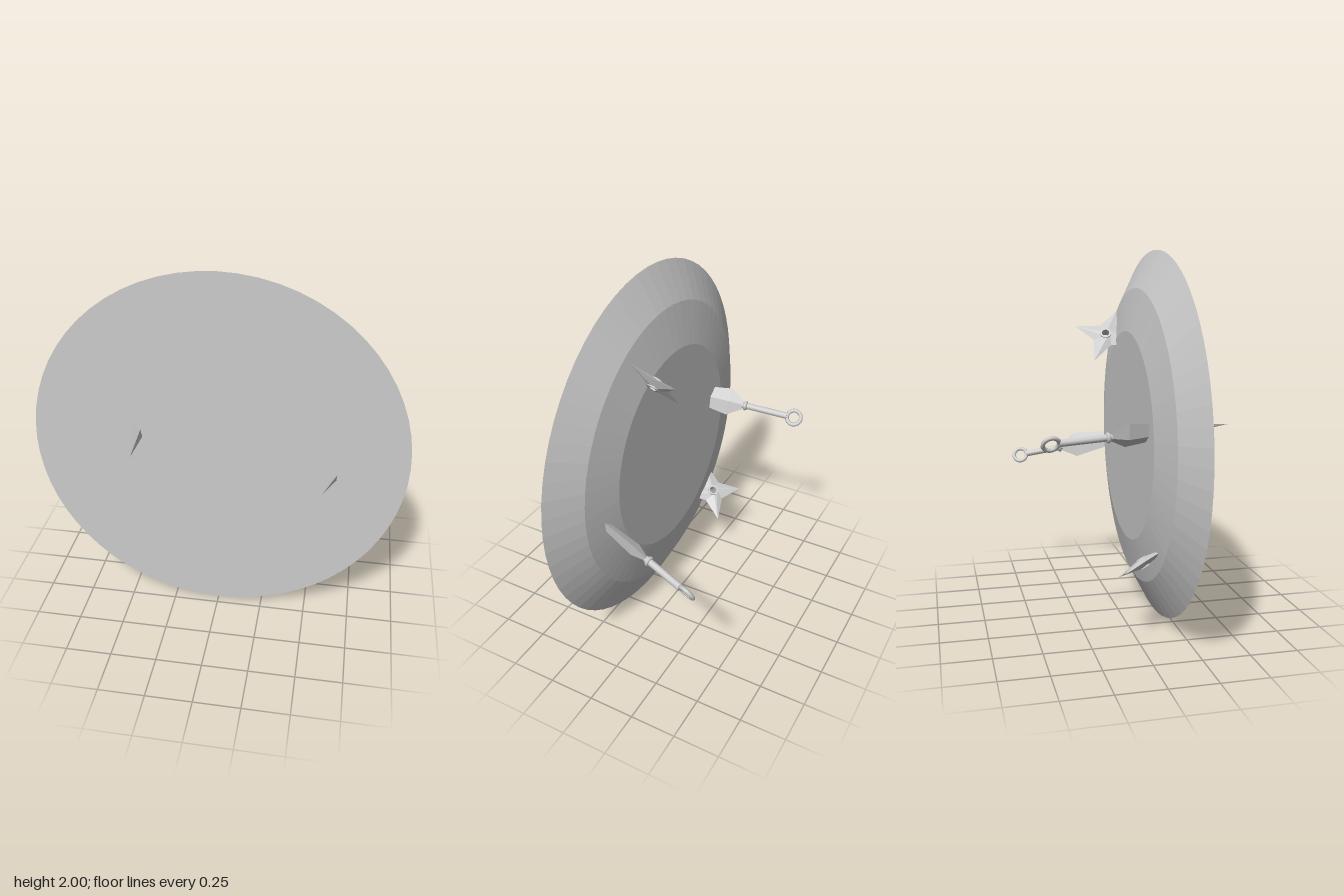
import * as THREE from 'three';

const V = (x, y, z) => new THREE.Vector3(x, y, z);
const steel = new THREE.MeshStandardMaterial({ color: 0xcccccc });
steel.name = 'grey steel';

// Faceted shading without touching the material
function flat(geometry) {
  const g = geometry.index ? geometry.toNonIndexed() : geometry;
  g.computeVertexNormals();
  return g;
}

function part(name, geometry, parent) {
  const mesh = new THREE.Mesh(geometry, steel);
  mesh.name = name;
  parent.add(mesh);
  return mesh;
}

const lathe = (points, sides) =>
  new THREE.LatheGeometry(points.map(([r, y]) => new THREE.Vector2(r, y)), sides);

// Throwing knife: local +Y runs to the tip, X is the blade's width
function makeKnife(name, tip, ring, wideHint) {
  const knife = new THREE.Group();
  knife.name = name;
  const axis = tip.clone().sub(ring);
  const length = axis.length();
  axis.normalize();
  const wide = wideHint.clone().addScaledVector(axis, -wideHint.dot(axis)).normalize();
  const normal = wide.clone().cross(axis);

  const blade = lathe([[0, -0.64], [0.3, -0.635], [1, -0.55], [0, 0]], 4);
  blade.scale(0.078, 1, 0.033);
  part('blade', flat(blade), knife);

  const collar = new THREE.TorusGeometry(0.018, 0.01, 8, 16);
  collar.rotateX(Math.PI / 2);
  part('collar', collar, knife).position.y = -0.65;

  const handleLength = length - 0.04 - 0.63;
  part('handle', new THREE.CylinderGeometry(0.018, 0.018, handleLength, 12), knife)
    .position.y = -0.63 - handleLength / 2;
  part('pommelRing', new THREE.TorusGeometry(0.04, 0.011, 8, 24), knife).position.y = -length;

  knife.setRotationFromMatrix(new THREE.Matrix4().makeBasis(wide, axis, normal));
  knife.position.copy(tip);
  return knife;
}

// Four-pointed star plate, thick at the hub and sharp at the rim
function starGeometry() {
  const outer = [], inner = [], pos = [];
  for (let k = 0; k < 8; k++) {
    const a = k * Math.PI / 4, r = k % 2 ? 0.075 : 0.184;
    outer.push(V(r * Math.cos(a), r * Math.sin(a), 0));
    inner.push(V(0.026 * Math.cos(a), 0.026 * Math.sin(a), 0.022));
  }
  for (const side of [1, -1]) {
    for (let k = 0; k < 8; k++) {
      const n = (k + 1) % 8;
      const face = [inner[k], outer[k], outer[n], inner[k], outer[n], inner[n]];
      if (side < 0) face.reverse();
      face.forEach(p => pos.push(p.x, p.y, p.z * side));
    }
  }
  const g = new THREE.BufferGeometry();
  g.setAttribute('position', new THREE.Float32BufferAttribute(pos, 3));
  g.computeVertexNormals();
  return g;
}

function makeStar(name, center, arm1, arm2) {
  const star = new THREE.Group();
  star.name = name;
  part('starPlate', starGeometry(), star);
  const hub = lathe([[0.021, -0.026], [0.032, -0.026], [0.032, 0.026], [0.021, 0.026], [0.021, -0.026]], 16);
  hub.rotateX(Math.PI / 2);
  part('starHub', flat(hub), star);
  const x = arm1.clone().normalize();
  const z = x.clone().cross(arm2).normalize();
  star.setRotationFromMatrix(new THREE.Matrix4().makeBasis(x, z.clone().cross(x), z));
  star.position.copy(center);
  return star;
}

export function createModel() {
  const model = new THREE.Group();
  model.name = 'targetDisc';

  // Round board with two bevelled bands on its rear
  const board = lathe([[0, 0.046], [0.57, 0.046], [0.8, 0.095], [1, 0.2], [0, 0.2]], 64);
  board.rotateX(Math.PI / 2);
  part('board', flat(board), model).position.y = 1;

  // Knives driven through the board
  model.add(
    makeKnife('rightKnife', V(-0.398, 1.108, 0.485), V(-0.505, 1.058, -0.447), V(-0.56, 0.83, 0)),
    makeKnife('leftKnife', V(0.564, 0.94, 0.41), V(0.778, 0.767, -0.45), V(0.5, 0.87, 0)),
  );

  // Stars stuck in the rear
  model.add(
    makeStar('upperStar', V(0.285, 1.535, -0.005), V(0.075, 0.05, -0.16), V(0.09, 0.135, 0.085)),
    makeStar('lowerStar', V(-0.442, 0.415, 0.028), V(-0.133, -0.015, -0.133), V(0.107, -0.105, -0.098)),
  );
  return model;
}
